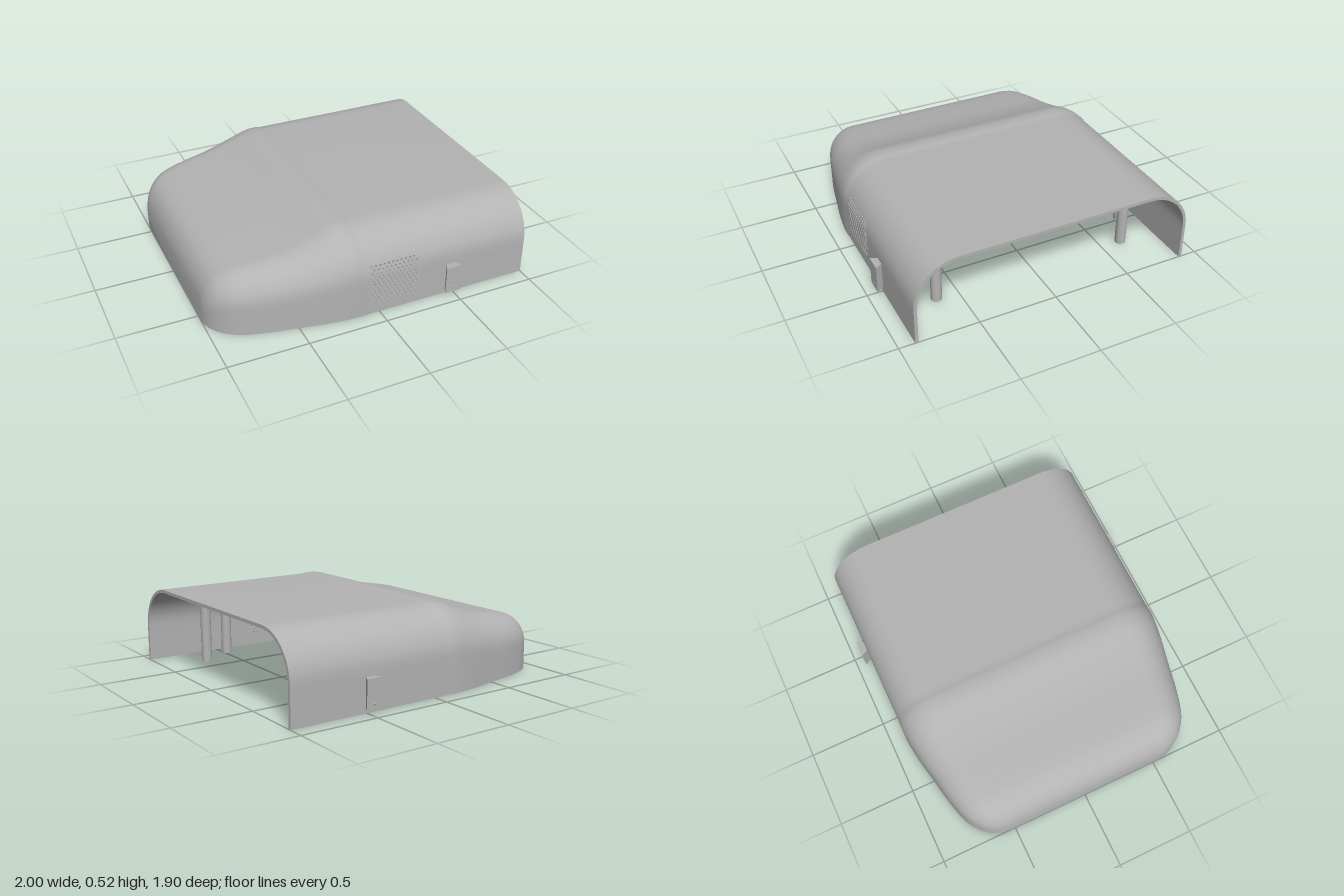
import * as THREE from 'three';
import { toCreasedNormals } from 'three/addons/utils/BufferGeometryUtils.js';

const T = 0.02; // wall thickness
const ARC = 12, SIDE = 4;
const R = 0.28, H0 = 0.518, W0 = 0.9;
const PANEL = { x0: -0.08, x1: 0.26, j0: 1, j1: SIDE + 3 };

// x, height and half width of the hood, from the nose to the straight part
const nose = new THREE.CatmullRomCurve3([
  [-1, 0.1, 0.55], [-0.99, 0.18, 0.6], [-0.965, 0.25, 0.655], [-0.92, 0.31, 0.71],
  [-0.84, 0.355, 0.765], [-0.7, 0.385, 0.81], [-0.5, 0.42, 0.85], [-0.35, 0.465, 0.88],
  [-0.22, 0.515, 0.898], [-0.15, 0.523, 0.902], [-0.1, H0, W0],
].map(p => new THREE.Vector3(...p)));
const rows = nose.getPoints(60);
for (const x of [PANEL.x0, PANEL.x1, 1]) rows.push(new THREE.Vector3(x, H0, W0));

const cornerRadius = h => R * Math.min(1, Math.pow(h / H0, 1.3));

// Arch from the +z foot over the roof to the -z foot
function arch(x, h, w, r) {
  const half = [];
  for (let i = 0; i < SIDE; i++) half.push([(h - r) * i / SIDE, w]);
  for (let i = 0; i <= ARC; i++) {
    const a = i / ARC * Math.PI / 2;
    half.push([h - r + r * Math.sin(a), w - r + r * Math.cos(a)]);
  }
  const other = half.map(([y, z]) => [y, -z]).reverse();
  return [...half, ...other].map(([y, z]) => [x, y, z]);
}

// Height of the outer skin above a point
function roofY(x, z) {
  let i = 1;
  while (i < rows.length - 1 && rows[i].x < x) i++;
  const a = rows[i - 1], b = rows[i];
  const p = a.clone().lerp(b, THREE.MathUtils.clamp((x - a.x) / (b.x - a.x), 0, 1));
  const r = cornerRadius(p.y), d = Math.max(0, Math.abs(z) - (p.z - r));
  return p.y - r + Math.sqrt(Math.max(0, r * r - d * d));
}

function shellGeometry() {
  const pos = [], idx = [];
  let n = 0;
  for (const p of rows) {
    const r = cornerRadius(p.y);
    const outer = arch(p.x, p.y, p.z, r);
    const xi = p.x + T * THREE.MathUtils.clamp((-0.84 - p.x) / 0.16, 0, 1);
    const inner = arch(xi, p.y - T, p.z - T, Math.max(0.01, r - T)).reverse();
    n = outer.length;
    pos.push(...outer.flat(), ...inner.flat());
  }
  const m = 2 * n, last = (rows.length - 1) * m;
  for (let i = 0; i < rows.length - 1; i++) {
    const panelRow = Math.abs(rows[i].x - PANEL.x0) < 1e-6;
    for (let j = 0; j < m; j++) {
      const k = j < n ? j : 2 * n - 2 - j; // matching outer cell
      if (panelRow && k >= PANEL.j0 && k < PANEL.j1) continue; // left open for the grille
      const a = i * m + j, b = i * m + (j + 1) % m;
      idx.push(a, a + m, b, b, a + m, b + m);
    }
  }
  // rim of the open end
  for (let j = 0; j < n - 1; j++) {
    const o = last + j, q = last + m - 1 - j;
    idx.push(o, q, o + 1, o + 1, q, q - 1);
  }
  // nose end, outside and inside
  for (const start of [0, n]) {
    const c = pos.length / 3;
    pos.push(pos[start * 3], 0, 0);
    for (let j = start; j < start + n - 1; j++) idx.push(c, j, j + 1);
  }
  const g = new THREE.BufferGeometry();
  g.setAttribute('position', new THREE.Float32BufferAttribute(pos, 3));
  g.setIndex(idx);
  return toCreasedNormals(g, 0.6);
}

// Perforated panel, drawn flat as (x, length up the wall), then bent round the corner
function grilleGeometry() {
  const straight = H0 - R, step = R * Math.PI / 2 / ARC;
  const ss = [straight / SIDE, straight, straight + step, straight + 2 * step, straight + 3 * step];
  const outline = [
    ...ss.map(s => new THREE.Vector2(PANEL.x1, s)),
    ...ss.slice().reverse().map(s => new THREE.Vector2(PANEL.x0, s)),
  ];
  const shape = new THREE.Shape(outline);
  for (let row = 0; row < 11; row++) {
    for (let col = 0; col < 11; col++) {
      const hole = new THREE.Path();
      hole.absarc(-0.057 + col * 0.028 + (row % 2) * 0.014, 0.08 + row * 0.0247, 0.0075, 0, Math.PI * 2, true);
      shape.holes.push(hole);
    }
  }
  const g = new THREE.ExtrudeGeometry(shape, { depth: T, bevelEnabled: false, curveSegments: 8 });
  const p = g.attributes.position;
  for (let i = 0; i < p.count; i++) {
    const s = p.getY(i), d = p.getZ(i) - T;
    const a = Math.max(0, s - straight) / R;
    p.setY(i, Math.min(s, straight) + (R + d) * Math.sin(a));
    p.setZ(i, W0 - R + (R + d) * Math.cos(a));
  }
  return toCreasedNormals(g, 0.6);
}

// Round boss with a screw hole in its foot; its top follows the roof
function bossGeometry(x, z, rFoot, rTop, y0, hole) {
  const pts = [[0, y0 + 0.06], [hole, y0 + 0.06], [hole, y0], [rFoot, y0], [rTop, 0.6]];
  const g = new THREE.LatheGeometry(pts.map(p => new THREE.Vector2(...p)), 24);
  g.translate(x, 0, z);
  const p = g.attributes.position;
  for (let i = 0; i < p.count; i++) {
    if (p.getY(i) > 0.55) p.setY(i, roofY(p.getX(i), p.getZ(i)) - 0.01);
  }
  return toCreasedNormals(g, 0.6);
}

// Slice of the round-bottomed holder with a bore
function holderSlice(x0, depth, bore) {
  const cy = 0.15, r = 0.175, a = Math.asin(cy / r);
  const s = new THREE.Shape();
  s.moveTo(r, 0.43);
  s.lineTo(-r, 0.43);
  s.absarc(0, cy, r, Math.PI, Math.PI + a, false);
  s.absarc(0, cy, r, -a, 0, false);
  s.closePath();
  const hole = new THREE.Path();
  hole.absarc(0, cy, bore, 0, Math.PI * 2, true);
  s.holes.push(hole);
  const g = new THREE.ExtrudeGeometry(s, { depth, bevelEnabled: false, curveSegments: 32 });
  g.rotateY(Math.PI / 2).translate(x0, 0, 0);
  const p = g.attributes.position;
  for (let i = 0; i < p.count; i++) {
    if (p.getY(i) > 0.35) p.setY(i, Math.min(p.getY(i), roofY(p.getX(i), 0) - 0.01));
  }
  return toCreasedNormals(g, 0.6);
}

export function createModel() {
  const model = new THREE.Group();
  const grey = new THREE.MeshStandardMaterial({ color: 0xb3b3b3 });
  grey.name = 'plain grey';
  const add = (name, geometry, parent = model) => {
    const mesh = new THREE.Mesh(geometry, grey);
    mesh.name = name;
    parent.add(mesh);
    return mesh;
  };

  add('shell', shellGeometry());
  add('grille', grilleGeometry());

  for (const side of [1, -1]) {
    // screw posts
    for (const [x, z, r] of [[0.7, 0.64, 0.034], [0.48, 0.77, 0.034], [-0.21, 0.57, 0.034], [-0.87, 0.41, 0.038]]) {
      add('screwPost', bossGeometry(x, z * side, r, r, 0, 0.014));
    }
    // short tapered bosses under the roof
    for (const x of [0.6, 0.35]) add('roofBoss', bossGeometry(x, 0.25 * side, 0.044, 0.065, 0.43, 0.022));

    // latch block, wider on its outer face
    const shape = new THREE.Shape([[0.425, 0.943], [0.53, 0.943], [0.505, 0.895], [0.45, 0.895]]
      .map(([x, z]) => new THREE.Vector2(x, -z * side)));
    const block = new THREE.ExtrudeGeometry(shape, { depth: 0.18, bevelEnabled: false });
    block.rotateX(-Math.PI / 2).translate(0, 0.03, 0);
    add('latchBlock', block);
    const nub = new THREE.ConeGeometry(0.009, 0.006, 12);
    nub.rotateX(side * Math.PI / 2).translate(0.478, 0.062, side * 0.945);
    add('latchNub', nub);
  }

  // round holder hanging inside the nose
  const holder = new THREE.Group();
  holder.name = 'holder';
  model.add(holder);
  add('holderBody', holderSlice(-0.54, 0.085, 0.135), holder);
  add('holderFront', holderSlice(-0.455, 0.015, 0.149), holder);
  const back = new THREE.CylinderGeometry(0.14, 0.14, 0.008, 40);
  back.rotateZ(Math.PI / 2).translate(-0.536, 0.15, 0);
  add('holderBack', back, holder);

  return model;
}
